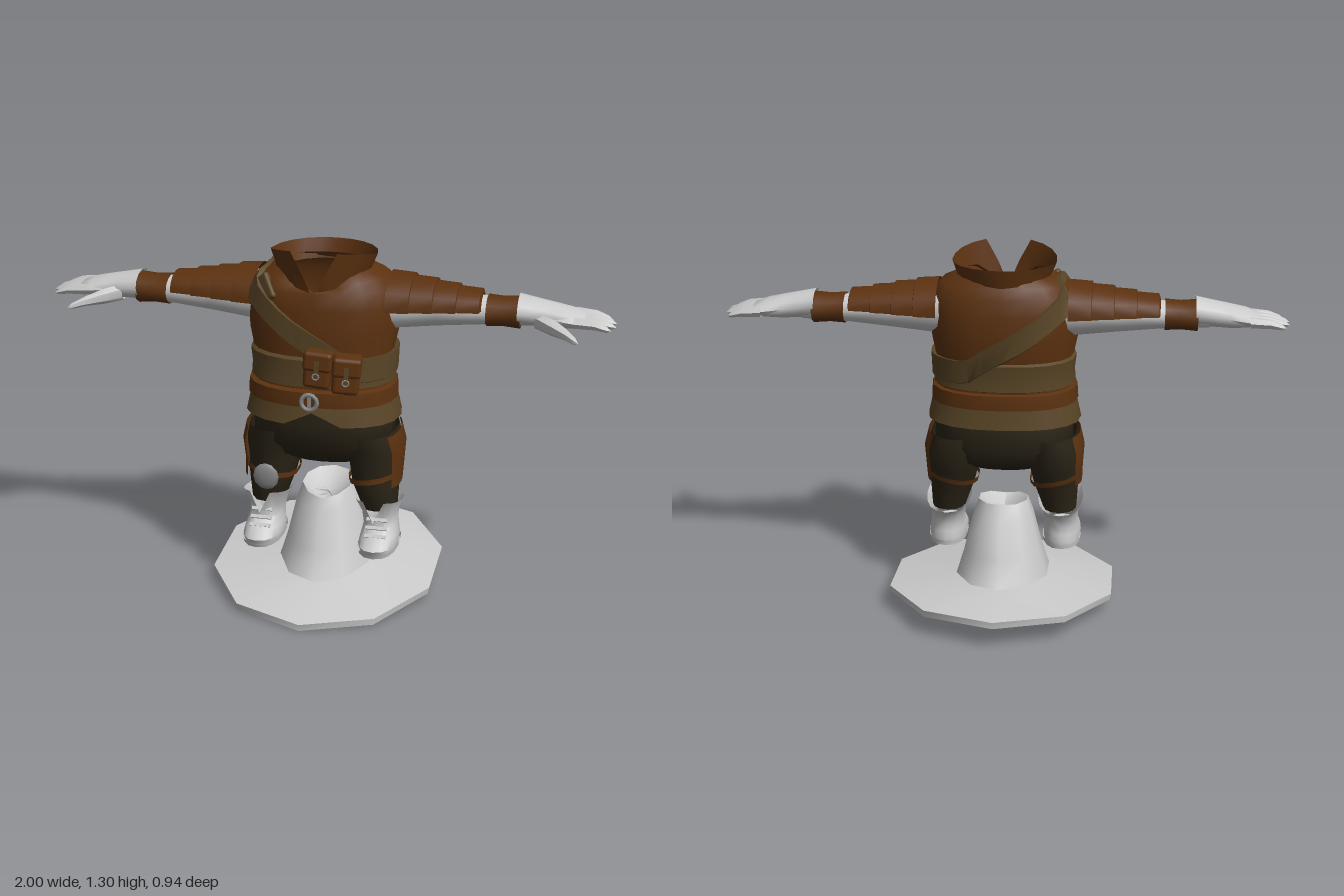
import * as THREE from 'three';
import { toCreasedNormals } from 'three/addons/utils/BufferGeometryUtils.js';
import { RoundedBoxGeometry } from 'three/addons/geometries/RoundedBoxGeometry.js';

const mat = (color) => new THREE.MeshStandardMaterial({ color, side: THREE.DoubleSide });
const GREY = mat(0xcccccc), BROWN = mat(0x5c3210), OLIVE = mat(0x594526);
const PANTS = mat(0x2b2417), STEEL = mat(0x888888);
const FRONT = Math.PI / 2, TURN = Math.PI * 2;

function add(parent, name, geo, material, pos = [0, 0, 0], rot = [0, 0, 0]) {
  const m = new THREE.Mesh(geo, material);
  m.name = name;
  m.position.set(...pos);
  m.rotation.set(...rot);
  parent.add(m);
  return m;
}

// Grid surface from f(u index, v index); closed joins the last column to the first
function grid(nu, nv, f, closed) {
  const pos = [], idx = [], cols = closed ? nu : nu + 1;
  for (let j = 0; j < nv; j++) for (let i = 0; i < cols; i++) pos.push(...f(i, j));
  for (let j = 0; j < nv - 1; j++) for (let i = 0; i < nu; i++) {
    const k = (i + 1) % cols, a = j * cols + i, b = j * cols + k;
    idx.push(a, a + cols, b, b, a + cols, b + cols);
  }
  const g = new THREE.BufferGeometry();
  g.setAttribute('position', new THREE.Float32BufferAttribute(pos, 3));
  g.setIndex(idx);
  return toCreasedNormals(g, 0.85);
}

const soft = (v, p) => Math.sign(v) * Math.abs(v) ** p;

// Upright loft, rings are [y, cx, cz, rx, rz]; the angle FRONT faces +z
function loft(rings, n, { from = FRONT, to = FRONT + TURN, p = 0.85, bend } = {}) {
  return grid(n, rings.length, (i, j) => {
    const [y, cx, cz, rx, rz] = rings[j], a = from + (to - from) * i / n;
    const q = [cx + rx * soft(Math.cos(a), p), y, cz + rz * soft(Math.sin(a), p)];
    if (bend) bend(q, Math.sin(a), j);
    return q;
  }, to - from > TURN - 0.01);
}

// Sideways loft, rings are [x, cy, cz, ry, rz]; the angle FRONT faces up
function limb(rings, n, { from = 0, to = TURN } = {}) {
  return grid(n, rings.length, (i, j) => {
    const [x, cy, cz, ry, rz] = rings[j], a = from + (to - from) * i / n;
    return [x, cy + ry * Math.sin(a), cz - rz * Math.cos(a)];
  }, to - from > TURN - 0.01);
}

const TORSO = [
  [0.74, 0, 0.07, 0.25, 0.175], [0.86, 0, 0.07, 0.245, 0.175], [0.93, 0, 0.065, 0.248, 0.178],
  [1.0, 0, 0.06, 0.262, 0.188], [1.1, 0, 0.06, 0.265, 0.185], [1.16, 0, 0.06, 0.255, 0.175],
  [1.195, 0, 0.06, 0.225, 0.16], [1.22, 0, 0.06, 0.165, 0.145]];

// Torso ring at any height
function torsoAt(y) {
  const k = Math.max(1, TORSO.findIndex((r) => r[0] >= y)), a = TORSO[k - 1], b = TORSO[k];
  const t = (y - a[0]) / (b[0] - a[0]);
  return a.map((v, i) => v + (b[i] - v) * t);
}

function makeArm() {
  const arm = new THREE.Group();
  add(arm, 'forearm', limb([[0.22, 1.09, 0.045, 0.09, 0.105], [0.4, 1.09, 0.04, 0.07, 0.08],
    [0.55, 1.085, 0.04, 0.05, 0.062], [0.72, 1.085, 0.04, 0.042, 0.055]], 12), GREY);
  // Overlapping sleeve plates over the top of the arm
  for (let k = 0; k < 4; k++) {
    const x = 0.23 + k * 0.078, r = 0.1 - k * 0.013, z = 0.132 - k * 0.014;
    add(arm, 'sleevePlate', limb([[x, 1.1, 0.04, r, z], [x + 0.08, 1.1, 0.04, r - 0.005, z - 0.008],
      [x + 0.085, 1.1, 0.04, r - 0.02, z - 0.03]], 10, { from: -0.12, to: Math.PI + 0.12 }), BROWN);
  }
  add(arm, 'wristband', limb([[0.57, 1.085, 0.04, 0.045, 0.06], [0.565, 1.085, 0.04, 0.054, 0.072],
    [0.62, 1.085, 0.04, 0.05, 0.068], [0.68, 1.085, 0.04, 0.055, 0.072], [0.68, 1.085, 0.04, 0.04, 0.05]], 10), BROWN);
  // Glove with a flared cuff
  add(arm, 'glove', limb([[0.69, 1.09, 0.045, 0.04, 0.055], [0.672, 1.1, 0.045, 0.05, 0.076],
    [0.75, 1.09, 0.045, 0.045, 0.066], [0.79, 1.085, 0.045, 0.042, 0.066], [0.85, 1.08, 0.045, 0.032, 0.077],
    [0.895, 1.075, 0.04, 0.02, 0.072], [0.905, 1.075, 0.04, 0, 0]], 12), GREY);
  [[-0.02, 0.985], [0.02, 1.0], [0.06, 1.0], [0.098, 0.985]].forEach(([z, end]) =>
    add(arm, 'finger', limb([[0.86, 1.078, z, 0.02, 0.021], [0.93, 1.074, z, 0.017, 0.018],
      [end - 0.015, 1.064, z * 1.08, 0.01, 0.012], [end, 1.06, z * 1.1, 0, 0]], 6), GREY));
  add(arm, 'thumb', limb([[0.73, 1.075, 0.08, 0.03, 0.03], [0.79, 1.065, 0.12, 0.028, 0.042],
    [0.84, 1.058, 0.17, 0.018, 0.03], [0.875, 1.05, 0.212, 0.011, 0.018], [0.888, 1.048, 0.23, 0, 0]], 7), GREY);
  return arm;
}

const LEG = [[0.64, 0.165, 0.06, 0.1, 0.155], [0.58, 0.18, 0.055, 0.1, 0.15], [0.5, 0.185, 0.055, 0.09, 0.122],
  [0.44, 0.19, 0.07, 0.083, 0.11], [0.34, 0.205, 0.065, 0.062, 0.085]];

function makeLeg() {
  const leg = new THREE.Group();
  add(leg, 'trouserLeg', loft(LEG, 14), PANTS);
  const patch = LEG.slice(0, 4).map(([y, cx, cz, rx, rz]) => [y, cx, cz + 0.01, rx + 0.012, rz]);
  add(leg, 'thighPatch', loft(patch, 6, { from: -0.75, to: 0.75 }), BROWN);
  add(leg, 'kneeStrap', loft([[0.455, 0.188, 0.066, 0.092, 0.118], [0.475, 0.187, 0.062, 0.094, 0.121]], 14,
    { bend: (q) => { q[1] += (q[0] - 0.19) * 0.2; } }), BROWN);
  // Boot with a slanted, notched top
  add(leg, 'boot', loft([[0.2, 0.213, 0.11, 0, 0], [0.2, 0.213, 0.108, 0.066, 0.127], [0.225, 0.213, 0.112, 0.07, 0.135],
    [0.25, 0.213, 0.1, 0.066, 0.115], [0.28, 0.212, 0.075, 0.06, 0.088], [0.32, 0.208, 0.065, 0.064, 0.092],
    [0.37, 0.207, 0.08, 0.083, 0.13]], 16,
  { bend: (q, s, j) => { if (j === 6) q[1] += s > 0.99 ? -0.05 : 0.03 * s; } }), GREY);
  add(leg, 'sole', loft([[0.198, 0.213, 0.11, 0, 0], [0.198, 0.213, 0.11, 0.07, 0.134],
    [0.216, 0.213, 0.112, 0.073, 0.139]], 16), GREY);
  for (let k = 0; k < 3; k++)
    add(leg, 'bootLace', new THREE.BoxGeometry(0.075, 0.012, 0.014), GREY, [0.212, 0.262 + k * 0.024, 0.19 - k * 0.018], [-0.6, 0, 0]);
  return leg;
}

export function createModel() {
  const model = new THREE.Group();

  // Tunic with the neckline dipping at the front
  add(model, 'tunic', loft(TORSO, 20, { bend: (q, s, j) => {
    if (j > 5) q[1] -= 0.07 * Math.max(0, s) ** 12 * (j - 5) / 2;
  } }), BROWN);
  const collarN = 18;
  add(model, 'collar', grid(collarN, 3, (i, j) => {
    const u = i / collarN, t = j / 2, gap = 0.45 * t, a = gap + (TURN - 2 * gap) * u;
    const f = Math.max(0, Math.cos(a)), low = 1.195 - 0.065 * f ** 6, high = 1.265 + 0.038 * f;
    return [(0.16 + 0.025 * t) * Math.sin(a), low + (high - low) * t, 0.065 + (0.162 + 0.018 * t) * Math.cos(a)];
  }, false), BROWN);

  // Waist layers
  add(model, 'sash', loft([[0.825, 0, 0.07, 0.245, 0.175], [0.83, 0, 0.07, 0.256, 0.187], [0.875, 0, 0.07, 0.252, 0.186],
    [0.925, 0, 0.066, 0.258, 0.19], [0.935, 0, 0.066, 0.245, 0.175]], 20), OLIVE);
  add(model, 'belt', loft([[0.76, 0, 0.073, 0.25, 0.178], [0.762, 0, 0.075, 0.266, 0.194], [0.79, 0, 0.075, 0.264, 0.196],
    [0.815, 0, 0.075, 0.262, 0.194], [0.82, 0, 0.073, 0.245, 0.175]], 20), BROWN);
  add(model, 'skirt', loft([[0.69, 0, 0.07, 0.278, 0.192], [0.77, 0, 0.07, 0.26, 0.182]], 20,
    { bend: (q, s, j) => { if (!j && s > 0.99) q[1] += 0.05; } }), OLIVE);
  add(model, 'beltBuckle', new THREE.TorusGeometry(0.028, 0.008, 6, 12), STEEL, [-0.005, 0.785, 0.278]);
  add(model, 'bucklePin', new THREE.BoxGeometry(0.012, 0.05, 0.01), STEEL, [-0.005, 0.785, 0.275]);

  // Shoulder strap running from right shoulder to left hip, front and back
  const strapN = 32, rows = [[-0.045, 0.002], [-0.042, 0.015], [0.042, 0.015], [0.045, 0.002]];
  add(model, 'shoulderStrap', grid(strapN, 4, (i, j) => {
    const a = TURN * i / strapN, mid = Math.max(0.89, 0.975 - 0.2 * Math.cos(a));
    const y = Math.min(1.212, mid + rows[j][0]), [, , cz, rx, rz] = torsoAt(y), out = rows[j][1];
    return [(rx + out) * soft(Math.cos(a), 0.85), y + out * 0.4, cz + (rz + out) * soft(Math.sin(a), 0.85)];
  }, true), OLIVE);
  add(model, 'strapClasp', new RoundedBoxGeometry(0.09, 0.1, 0.025, 2, 0.01), OLIVE, [-0.185, 1.145, 0.185], [-0.25, -0.6, 0.6]);

  // Pair of pouches
  for (const [x, y] of [[0.025, 0.905], [0.122, 0.89]]) {
    const pouch = new THREE.Group();
    pouch.name = 'pouch';
    pouch.position.set(x, y, 0.265);
    pouch.rotation.set(0, x * 1.5, -0.08);
    add(pouch, 'pouchBody', new RoundedBoxGeometry(0.094, 0.125, 0.07, 2, 0.016), BROWN);
    add(pouch, 'pouchFlap', new RoundedBoxGeometry(0.1, 0.07, 0.08, 2, 0.014), BROWN, [0, 0.035, 0.002]);
    add(pouch, 'pouchTab', new THREE.BoxGeometry(0.016, 0.06, 0.006), OLIVE, [0, 0.01, 0.042]);
    add(pouch, 'pouchRing', new THREE.TorusGeometry(0.011, 0.003, 5, 10), STEEL, [0, -0.014, 0.044]);
    model.add(pouch);
  }

  // Hips
  add(model, 'hips', loft([[0.75, 0, 0.07, 0.24, 0.17], [0.68, 0, 0.065, 0.25, 0.178], [0.6, 0, 0.06, 0.255, 0.168],
    [0.54, 0, 0.052, 0.21, 0.13], [0.505, 0, 0.05, 0.13, 0.075], [0.5, 0, 0.05, 0, 0]], 18), PANTS);

  // Mirrored limbs
  for (const side of [1, -1]) {
    const arm = makeArm(), leg = makeLeg();
    arm.name = side > 0 ? 'leftArm' : 'rightArm';
    leg.name = side > 0 ? 'leftLeg' : 'rightLeg';
    arm.scale.x = leg.scale.x = side;
    model.add(arm, leg);
  }
  add(model, 'kneePatch', new THREE.SphereGeometry(0.05, 10, 6).scale(0.95, 1.05, 0.3), STEEL, [-0.19, 0.45, 0.178], [0.1, 0, 0]);

  // Wide hat on the ground: hollow crown, tilted brim, pinched top
  add(model, 'hat', loft([[0.33, 0, 0.01, 0, 0], [0.32, 0, 0.01, 0.09, 0.11], [0.09, 0, 0, 0.165, 0.235],
    [0.045, 0, 0, 0.42, 0.465], [0.07, 0, 0, 0.425, 0.468], [0.108, 0, 0, 0.175, 0.25], [0.2, 0, 0.0, 0.146, 0.2],
    [0.33, 0, 0.0, 0.114, 0.15], [0.388, 0, 0.01, 0.092, 0.112], [0.355, 0, 0.01, 0.05, 0.06], [0.345, 0, 0.01, 0, 0]], 10,
  { p: 1, bend: (q, s, j) => {
    q[1] -= 0.09 * q[2];
    if (j > 7) q[1] -= 0.02 * Math.max(0, s) ** 4;
  } }), GREY);

  return model;
}
